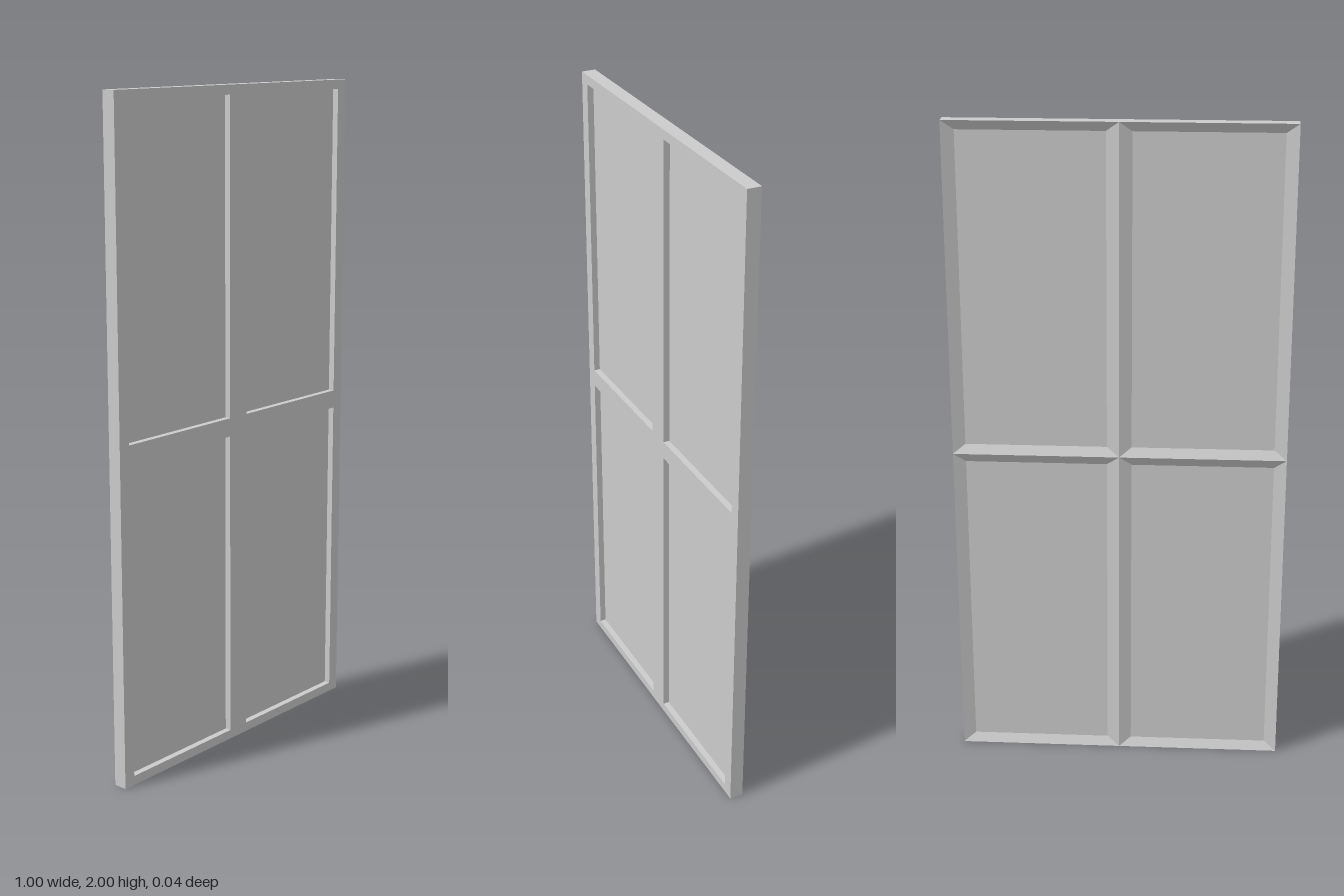
import * as THREE from 'three';

const FRONT = 0.021, BACK = -0.021;           // frame faces
const PANE_FRONT = 0.002, PANE_BACK = -0.007; // pane faces
const INSET_X = 0.037, INSET_Y = 0.028;       // half bar widths

const material = new THREE.MeshStandardMaterial({ color: 0xcccccc, flatShading: true });

// Corners of a rectangle, counterclockwise seen from the front
function rect([cx, cy, w, h], z, ix = 0, iy = 0) {
  const a = w / 2 - ix, b = h / 2 - iy;
  return [[-a, -b], [a, -b], [a, b], [-a, b]].map(([x, y]) => [cx + x, cy + y, z]);
}

// Joins successive rectangles with strips of four quads
function loft(loops) {
  const pos = [];
  for (let k = 0; k + 1 < loops.length; k++) {
    const a = loops[k], b = loops[k + 1];
    for (let i = 0; i < 4; i++) {
      const j = (i + 1) % 4;
      for (const p of [a[i], a[j], b[j], a[i], b[j], b[i]]) pos.push(...p);
    }
  }
  const geometry = new THREE.BufferGeometry();
  geometry.setAttribute('position', new THREE.Float32BufferAttribute(pos, 3));
  geometry.computeVertexNormals();
  return geometry;
}

function add(parent, geometry, name) {
  const mesh = new THREE.Mesh(geometry, material);
  mesh.name = name;
  parent.add(mesh);
  return mesh;
}

export function createModel() {
  const group = new THREE.Group();
  group.name = 'windowPanel';

  // Outer rim around the whole window
  const whole = [0, 1, 1, 2];
  add(group, loft([rect(whole, BACK), rect(whole, FRONT)]), 'outerRim');

  for (const [row, cy] of [['lower', 0.5], ['upper', 1.5]]) {
    for (const [side, cx] of [['Right', -0.25], ['Left', 0.25]]) {
      const cell = [cx, cy, 0.5, 1];
      const light = new THREE.Group();
      light.name = `${row}${side}Light`;
      group.add(light);

      // Flat front bars with a square step down to the pane
      add(light, loft([
        rect(cell, FRONT),
        rect(cell, FRONT, INSET_X, INSET_Y),
        rect(cell, PANE_FRONT, INSET_X, INSET_Y),
      ]), 'frontBars');

      // Mitred bevels at the back, rising to sharp ridges between the panes
      add(light, loft([
        rect(cell, PANE_BACK, INSET_X, INSET_Y),
        rect(cell, BACK),
      ]), 'backBevels');

      // Pane
      const pane = add(light, new THREE.BoxGeometry(
        0.5 - 2 * INSET_X, 1 - 2 * INSET_Y, PANE_FRONT - PANE_BACK), 'pane');
      pane.position.set(cx, cy, (PANE_FRONT + PANE_BACK) / 2);
    }
  }
  return group;
}
